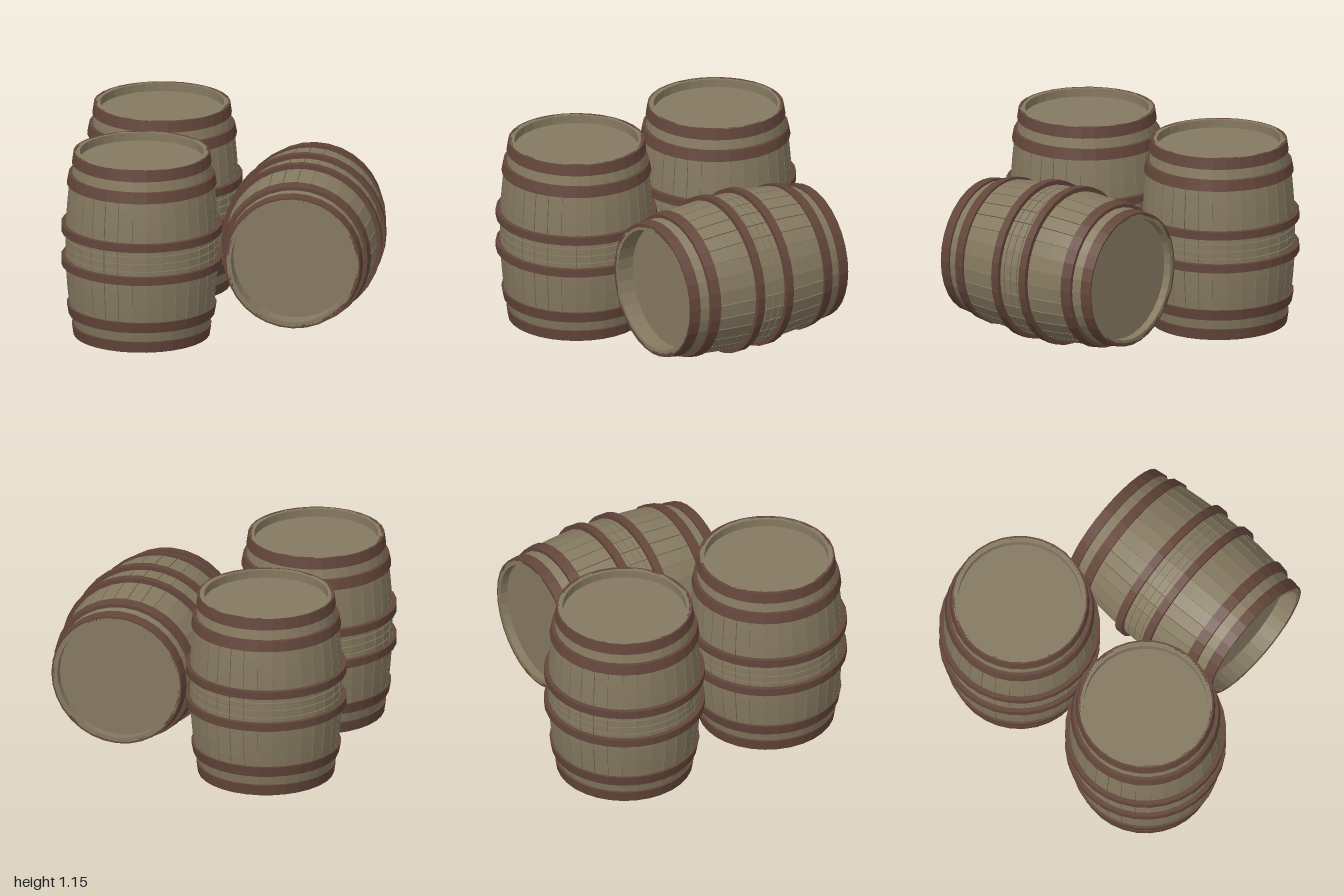
import * as THREE from 'three';
import { mergeGeometries } from 'three/addons/utils/BufferGeometryUtils.js';

const SIDES = 32;
const HEIGHT = 1.155;
const STEP = (Math.PI * 2) / SIDES;

const wood = new THREE.MeshStandardMaterial({ color: 0x857960 });
wood.name = 'weathered oak';
const iron = new THREE.MeshStandardMaterial({ color: 0x63463a });
iron.name = 'rusty iron';

// Faceted normals for the low-poly look
function facet(geometry) {
  const g = geometry.index ? geometry.toNonIndexed() : geometry;
  g.computeVertexNormals();
  return g;
}

function lathe(points) {
  return facet(new THREE.LatheGeometry(points.map(([r, y]) => new THREE.Vector2(r, y)), SIDES));
}

// Outer radius of the staves: a gentle bulge
function staveRadius(y) {
  const t = (y - HEIGHT / 2) / (HEIGHT / 2);
  return 0.465 - 0.055 * t * t;
}

// One curved plank, bent from a box around the barrel axis
function plank(index, y0, y1, segments) {
  const g = new THREE.BoxGeometry(1, 1, 1, 1, segments, 1);
  const p = g.attributes.position;
  const width = STEP - 0.011;
  for (let i = 0; i < p.count; i++) {
    const angle = (index + 0.5) * STEP + p.getX(i) * width;
    const y = y0 + (p.getY(i) + 0.5) * (y1 - y0);
    const r = staveRadius(y) - (p.getZ(i) < 0 ? 0.015 : 0);
    p.setXYZ(i, Math.sin(angle) * r, y, Math.cos(angle) * r);
  }
  return facet(g);
}

// Core with a deep recess at the bottom and a shallow one at the top
function coreGeometry() {
  const foot = 0.11, lid = 0.05, inner = 0.377;
  const points = [[0, foot], [inner, foot], [inner, 0], [0.405, 0], [0.411, 0.065], [0.423, 0.13]];
  for (let i = 0; i <= 8; i++) {
    const y = 0.19 + (i / 8) * (HEIGHT - 0.38);
    points.push([staveRadius(y) - 0.01, y]);
  }
  points.push([0.423, HEIGHT - 0.13], [0.411, HEIGHT - 0.065], [0.405, HEIGHT],
    [inner, HEIGHT], [inner, HEIGHT - lid], [0, HEIGHT - lid]);
  return lathe(points);
}

function stavesGeometry() {
  const parts = [];
  for (let i = 0; i < SIDES; i++) {
    parts.push(plank(i, 0.18, 0.46, 4), plank(i, 0.695, 0.975, 4));
    // short blocks between the two middle hoops
    for (let row = 0; row < 4; row++) {
      const y = 0.482 + row * 0.048;
      parts.push(plank(i, y, y + 0.043, 1));
    }
  }
  return mergeGeometries(parts);
}

// Hoop with its own lower and upper outer radius
function hoopGeometry(y0, y1, r0, r1, thickness) {
  const a = r0 - thickness, b = r1 - thickness;
  return lathe([[a, y0], [r0, y0], [r1, y1], [b, y1], [a, y0]]);
}

function createBarrel(name, geometries) {
  const barrel = new THREE.Group();
  barrel.name = name;
  const add = (partName, geometry, material) => {
    const mesh = new THREE.Mesh(geometry, material);
    mesh.name = partName;
    mesh.position.y = -HEIGHT / 2;
    barrel.add(mesh);
  };
  add('barrelCore', geometries.core, wood);
  add('staves', geometries.staves, wood);
  geometries.hoops.forEach(([partName, g]) => add(partName, g, iron));
  return barrel;
}

export function createModel() {
  const H = HEIGHT;
  const geometries = {
    core: coreGeometry(),
    staves: stavesGeometry(),
    hoops: [
      ['bottomRimHoop', hoopGeometry(0, 0.068, 0.415, 0.425, 0.02)],
      ['lowerHoop', hoopGeometry(0.133, 0.198, 0.444, 0.456, 0.03)],
      ['lowerMiddleHoop', hoopGeometry(0.448, 0.498, 0.49, 0.49, 0.035)],
      ['upperMiddleHoop', hoopGeometry(H - 0.498, H - 0.448, 0.49, 0.49, 0.035)],
      ['upperHoop', hoopGeometry(H - 0.198, H - 0.133, 0.456, 0.444, 0.03)],
      ['topRimHoop', hoopGeometry(H - 0.068, H, 0.425, 0.415, 0.02)],
    ],
  };

  const model = new THREE.Group();
  model.name = 'barrelStack';

  // Two barrels standing side by side
  for (const [name, z] of [['frontStandingBarrel', 0.51], ['backStandingBarrel', -0.51]]) {
    const barrel = createBarrel(name, geometries);
    barrel.position.set(-0.466, H / 2, z);
    model.add(barrel);
  }

  // One barrel lying with its bottom to the front
  const lying = createBarrel('lyingBarrel', geometries);
  lying.rotation.x = -Math.PI / 2;
  lying.position.set(0.466, 0.498, 0.003);
  model.add(lying);

  return model;
}
